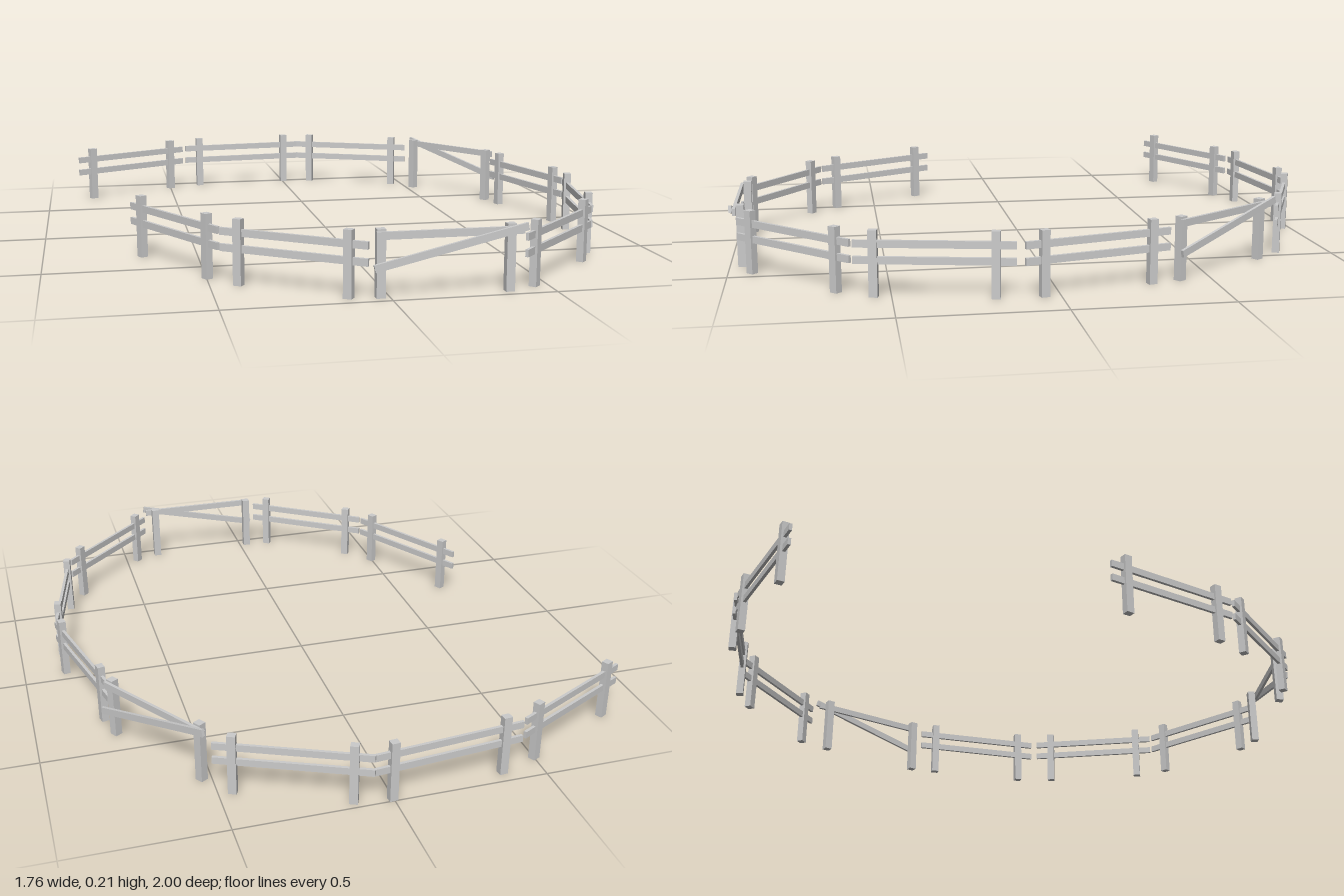
import * as THREE from 'three';

const material = new THREE.MeshStandardMaterial({ color: 0xcccccc, flatShading: true });
const POST_H = 0.205, POST_W = 0.027, POST_D = 0.024;
const RAIL_H = 0.023, RAIL_T = 0.01;

function addBox(parent, name, size, position, tilt = 0) {
  const mesh = new THREE.Mesh(new THREE.BoxGeometry(...size), material);
  mesh.name = name;
  mesh.position.set(...position);
  mesh.rotation.z = tilt;
  parent.add(mesh);
}

// Group whose local +x runs along the ground from (x1, z1) to (x2, z2)
function section(name, [x1, z1, x2, z2]) {
  const group = new THREE.Group();
  group.name = name;
  group.position.set(x1, 0, z1);
  group.rotation.y = Math.atan2(z1 - z2, x2 - x1);
  return { group, length: Math.hypot(x2 - x1, z2 - z1) };
}

// Two posts with a pair of level rails running through them
function fencePanel(ends) {
  const { group, length } = section('fencePanel', ends);
  for (const x of [0.061, length - 0.061]) {
    addBox(group, 'post', [POST_W, POST_H, POST_D], [x, POST_H / 2, 0]);
  }
  addBox(group, 'lowerRail', [length, RAIL_H, RAIL_T], [length / 2, 0.112, 0]);
  addBox(group, 'upperRail', [length, RAIL_H, RAIL_T], [length / 2, 0.162, 0]);
  return group;
}

// Two posts on the inner side, a level top rail and a rising brace outside it
function bracedPanel(ends) {
  const { group, length } = section('bracedPanel', ends);
  for (const x of [0.024, 0.416]) {
    addBox(group, 'post', [POST_W, POST_H, 0.026], [x, POST_H / 2, -0.023]);
  }
  addBox(group, 'topRail', [0.445, RAIL_H, RAIL_T], [0.23, 0.187, -0.005]);
  const rise = 0.107;
  addBox(group, 'diagonalBrace', [Math.hypot(length, rise), RAIL_H, RAIL_T],
    [length / 2, 0.146, 0.005], Math.atan2(rise, length));
  return group;
}

export function createModel() {
  const model = new THREE.Group();
  model.name = 'openRingFence';

  // Panel ends as x1, z1, x2, z2 around the ring
  const panels = [
    [-0.88, -0.712, -0.445, -0.935],
    [-0.43, -0.948, 0.065, -0.995],
    [0.065, -0.997, 0.51, -0.795],
    [0.755, -0.36, 0.87, 0.11],
    [0.864, 0.135, 0.767, 0.612],
    [0.758, 0.62, 0.412, 0.967],
    [-0.07, 0.985, -0.463, 0.71],
    [-0.468, 0.7, -0.708, 0.27],
  ];
  for (const ends of panels) model.add(fencePanel(ends));

  const braced = [
    [-0.053, 0.983, 0.407, 0.983],
    [0.776, -0.39, 0.526, -0.776],
  ];
  for (const ends of braced) model.add(bracedPanel(ends));
  return model;
}
